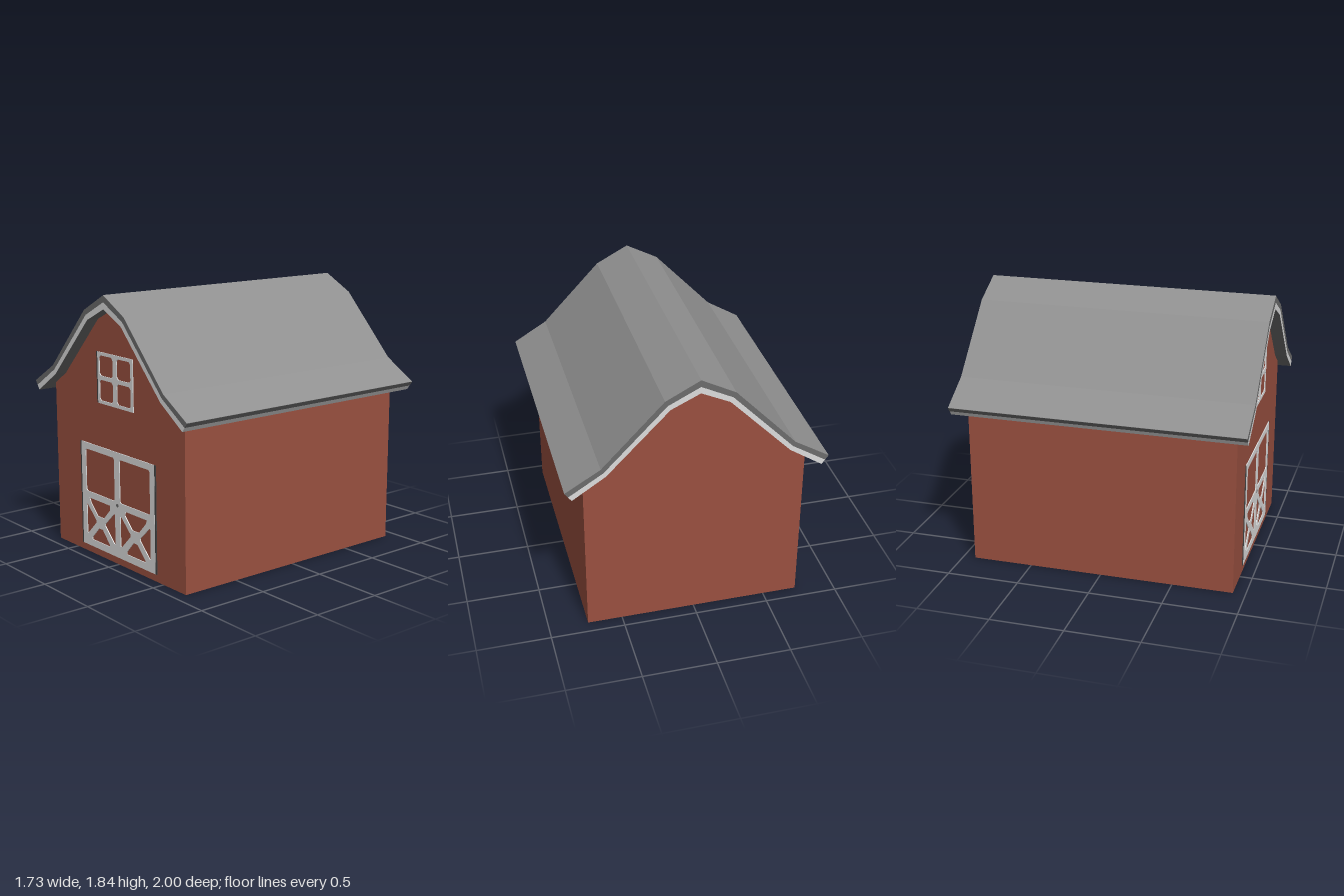
import * as THREE from 'three';

const mat = (name, color) => new THREE.MeshStandardMaterial({ name, color, flatShading: true });

// Right half of each roof line, ridge to eave
const OUTER = [[0, 1.836], [0.225, 1.718], [0.632, 1.29], [0.865, 1.15]];
const MIDDLE = [[0, 1.791], [0.207, 1.687], [0.616, 1.263], [0.843, 1.12]];
const INNER = [[0, 1.746], [0.19, 1.656], [0.6, 1.235], [0.82, 1.09]];

// Full line from left eave to right eave
const full = (half) => [...half.slice(1).reverse().map(([x, y]) => [-x, y]), ...half];
const toShape = (pts) => new THREE.Shape(pts.map(([x, y]) => new THREE.Vector2(x, y)));
const toHole = (pts) => new THREE.Path(pts.map(([x, y]) => new THREE.Vector2(x, y)));

function extrude(shape, z0, z1) {
  const g = new THREE.ExtrudeGeometry(shape, { depth: z1 - z0, bevelEnabled: false });
  return g.translate(0, 0, z0);
}

// Folded sheet running the length of the roof; faces up when x increases
function sheet(line, dy) {
  const v = [];
  for (let i = 0; i < line.length - 1; i++) {
    const [ax, ay] = line[i], [bx, by] = line[i + 1];
    const a = [ax, ay + dy], b = [bx, by + dy];
    v.push(...a, 1, ...b, 1, ...b, -1, ...a, 1, ...b, -1, ...a, -1);
  }
  const g = new THREE.BufferGeometry();
  g.setAttribute('position', new THREE.Float32BufferAttribute(v, 3));
  g.computeVertexNormals();
  return g;
}

// Rectangle with clipped corners
function pane(x0, x1, y0, y1, c) {
  return [[x0 + c, y0], [x1 - c, y0], [x1, y0 + c], [x1, y1 - c],
    [x1 - c, y1], [x0 + c, y1], [x0, y1 - c], [x0, y0 + c]];
}
const rect = (x0, x1, y0, y1) => toShape([[x0, y0], [x1, y0], [x1, y1], [x0, y1]]);

export function createModel() {
  const red = mat('barn red', 0x9a5040);
  const white = mat('trim white', 0xdcdcdc);
  const shingle = mat('roof grey', 0x909090);
  const dark = mat('dark grey', 0x6c6c6c);
  const black = mat('shadow grey', 0x444444);

  const barn = new THREE.Group();
  barn.name = 'barn';
  const add = (name, geometry, material, parent = barn) => {
    const m = new THREE.Mesh(geometry, material);
    m.name = name;
    parent.add(m);
    return m;
  };

  // Walls rise to the underside of the roof
  const W = 0.735, Z = 0.915, eave = 1.145;
  const gable = full(INNER).slice(1, -1);
  add('walls', extrude(toShape([[-W, 0], [W, 0], [W, eave], ...gable.reverse(), [-W, eave]]), -Z, Z), red);

  // Roof: dark slab over a white slab, with a grey top and a dark soffit
  const roof = new THREE.Group();
  roof.name = 'roof';
  barn.add(roof);
  const band = (lower, upper) => toShape([...full(lower), ...full(upper).reverse()]);
  add('roofEdge', extrude(band(MIDDLE, OUTER), -1, 1), dark, roof);
  add('roofTrim', extrude(band(INNER, MIDDLE), -1, 1), white, roof);
  add('roofTop', sheet(full(OUTER), 0.002), shingle, roof);
  add('soffit', sheet(full(INNER).reverse(), -0.002), dark, roof);

  // Double door with two open panels above and two crossed panels below
  const door = new THREE.Group();
  door.name = 'door';
  barn.add(door);
  const frame = rect(-0.42, 0.42, 0.05, 0.785);
  for (const s of [-1, 1]) {
    const holes = [
      pane(0.03, 0.37, 0.44, 0.74, 0.012),
      [[0.09, 0.395], [0.335, 0.395], [0.32, 0.365], [0.24, 0.285], [0.165, 0.285], [0.085, 0.365]],
      [[0.1, 0.1], [0.31, 0.1], [0.31, 0.115], [0.225, 0.2], [0.18, 0.2], [0.1, 0.115]],
      [[0.03, 0.135], [0.045, 0.135], [0.148, 0.235], [0.148, 0.25], [0.045, 0.345], [0.03, 0.345]],
      [[0.37, 0.135], [0.36, 0.135], [0.255, 0.235], [0.255, 0.25], [0.36, 0.345], [0.37, 0.345]],
    ];
    for (const h of holes) frame.holes.push(toHole(h.map(([x, y]) => [s * x, y])));
    const x = s * 0.427;
    add('doorEdge', extrude(rect(x - 0.007, x + 0.007, 0.05, 0.785), Z, Z + 0.005), black, door);
  }
  add('doorFrame', extrude(frame, Z, Z + 0.006), white, door);
  const latch = add('latch', new THREE.CylinderGeometry(0.013, 0.013, 0.004, 8).rotateX(Math.PI / 2), dark, door);
  latch.position.set(0.003, 0.418, Z + 0.007);

  // Four-pane loft window
  const win = new THREE.Group();
  win.name = 'window';
  barn.add(win);
  const sash = rect(-0.2, 0.2, 1.088, 1.437);
  for (const [x0, x1] of [[-0.18, -0.025], [0.02, 0.175]]) {
    for (const [y0, y1] of [[1.11, 1.25], [1.278, 1.415]]) {
      sash.holes.push(toHole(pane(x0, x1, y0, y1, 0.016)));
    }
  }
  add('windowFrame', extrude(sash, Z, Z + 0.006), white, win);
  add('windowEdge', extrude(rect(-0.213, -0.2, 1.09, 1.437), Z, Z + 0.005), black, win);

  return barn;
}
